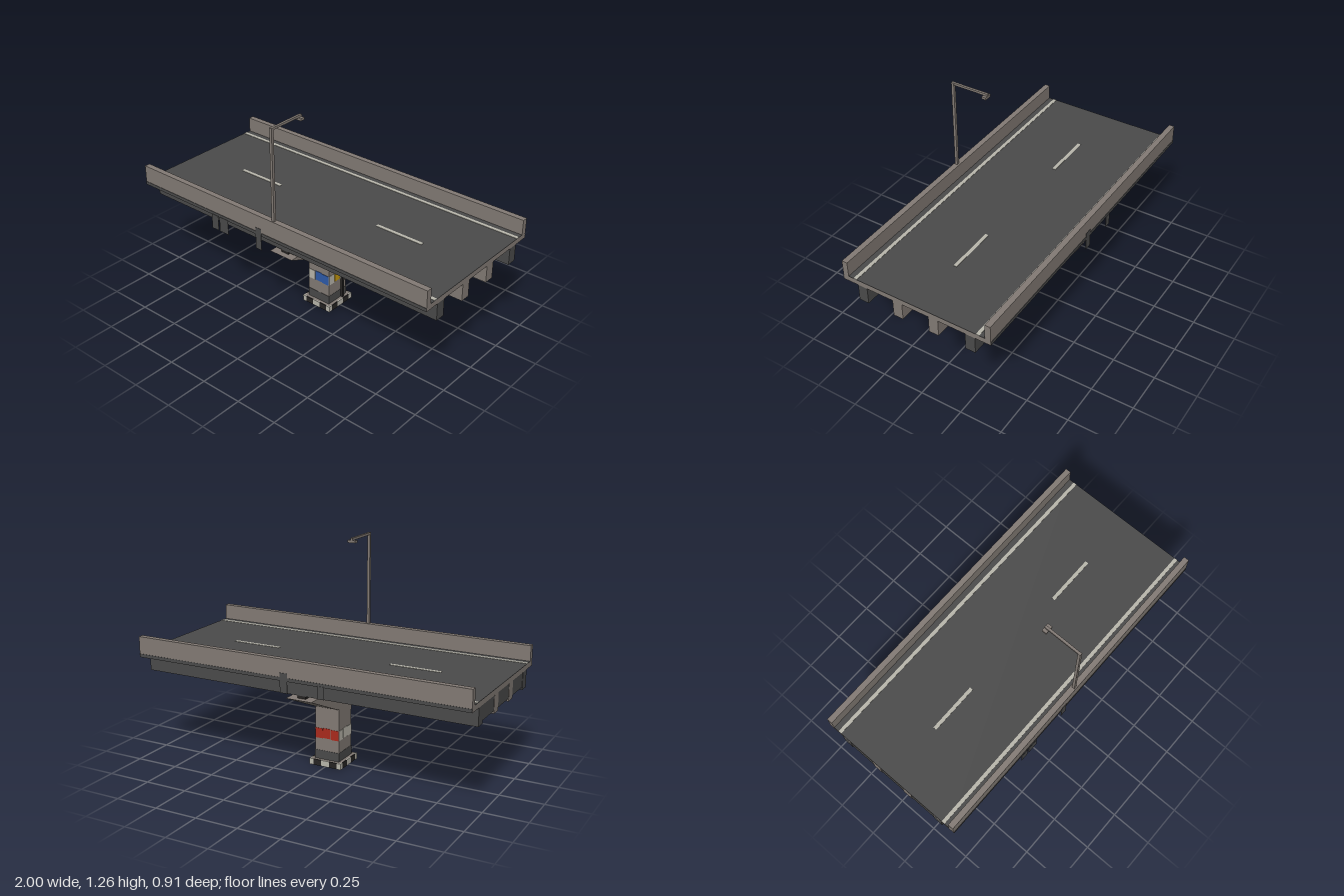
import * as THREE from 'three';

const mat = (name, color) => {
  const m = new THREE.MeshStandardMaterial({ color });
  m.name = name;
  return m;
};

export function createModel() {
  const model = new THREE.Group();
  model.name = 'overpass';
  const concrete = mat('concrete grey', 0x827a74);
  const asphalt = mat('asphalt grey', 0x4a4a4a);
  const black = mat('black', 0x262423);
  const white = mat('dull white', 0xb8b6ab);
  const blue = mat('poster blue', 0x2d5aa8);
  const yellow = mat('poster yellow', 0xc4960f);
  const red = mat('poster red', 0xaa2a1c);

  // Box given by its extents on each axis
  const box = (name, material, [x0, x1], [y0, y1], [z0, z1], parent = model) => {
    const mesh = new THREE.Mesh(new THREE.BoxGeometry(x1 - x0, y1 - y0, z1 - z0), material);
    mesh.position.set((x0 + x1) / 2, (y0 + y1) / 2, (z0 + z1) / 2);
    mesh.name = name;
    parent.add(mesh);
    return mesh;
  };

  // Deck with upright parapets, one continuous section along x
  const section = new THREE.Shape([
    [-0.45, 0.6], [0.45, 0.6], [0.45, 0.72], [0.417, 0.72], [0.417, 0.628],
    [-0.417, 0.628], [-0.417, 0.72], [-0.45, 0.72],
  ].map(([z, y]) => new THREE.Vector2(z, y)));
  const alongX = (name, shape, length) => {
    const geo = new THREE.ExtrudeGeometry(shape, { depth: length, bevelEnabled: false });
    geo.translate(0, 0, -length / 2).rotateY(Math.PI / 2);
    const mesh = new THREE.Mesh(geo, concrete);
    mesh.name = name;
    model.add(mesh);
  };
  alongX('deckAndParapets', section, 2);

  // Road surface and markings
  box('roadSurface', asphalt, [-1, 1], [0.628, 0.631], [-0.417, 0.417]);
  for (const s of [-1, 1]) {
    box('edgeLine', white, [-1, 1], [0.63, 0.633], [s * 0.375 - 0.01, s * 0.375 + 0.01]);
    box('centreDash', white, [s * 0.5 - 0.15, s * 0.5 + 0.15], [0.63, 0.633], [-0.01, 0.01]);
    box('edgeStrip', asphalt, [-1, 1], [0.601, 0.62], [s * 0.451 - 0.001, s * 0.451 + 0.001]);
  }

  // Girders on bearing pads
  for (const z of [-0.33, -0.11, 0.11, 0.33]) {
    const outer = Math.abs(z) > 0.2;
    box('girder', outer ? asphalt : concrete, [-1, 1], [0.5, 0.6], [z - 0.029, z + 0.029]);
    box('bearingPad', black, [-0.025, 0.025], [0.484, 0.5], [z - 0.026, z + 0.026]);
  }
  // Cross wall between girders at one end
  for (const z of [-0.22, 0, 0.22]) {
    box('endDiaphragm', asphalt, [-0.998, -0.97], [0.515, 0.6], [z - 0.082, z + 0.082]);
  }

  // Thin stains hanging from the deck edges
  const stains = [
    [-0.455, -0.405, 0.515, 0.605, 1], [-0.395, -0.33, 0.515, 0.605, 1],
    [-0.12, -0.08, 0.515, 0.645, 1], [0.03, 0.075, 0.535, 0.645, -1],
    [-0.19, -0.15, 0.535, 0.605, -1],
  ];
  for (const [x0, x1, y0, y1, s] of stains) {
    box('edgeStain', asphalt, [x0, x1], [y0, y1], [s * 0.453 - 0.001, s * 0.453 + 0.001]);
  }

  // Pier: tapered cap, column, dark foot band, drainpipe
  alongX('pierCap', new THREE.Shape([
    [-0.095, 0.353], [0.095, 0.353], [0.39, 0.484], [-0.39, 0.484],
  ].map(([z, y]) => new THREE.Vector2(z, y))), 0.156);
  box('column', concrete, [-0.075, 0.075], [0.03, 0.354], [-0.075, 0.075]);
  box('footBand', asphalt, [-0.0765, 0.0765], [0.035, 0.087], [-0.0765, 0.0765]);
  box('drainpipe', black, [0.076, 0.09], [0.035, 0.354], [-0.045, -0.03]);
  box('base', concrete, [-0.098, 0.098], [0, 0.035], [-0.098, 0.098]);

  // Posters and chequered base tiles on each of the four faces
  const sides = [
    ['front', 0, [white, blue, blue]],
    ['left', Math.PI / 2, [white, yellow, white]],
    ['back', Math.PI, [red, red, red]],
    ['right', -Math.PI / 2, [white, white, white]],
  ];
  for (const [name, angle, colours] of sides) {
    const side = new THREE.Group();
    side.name = name + 'FaceDetails';
    side.rotation.y = angle;
    colours.forEach((c, i) => {
      const x = (i - 1) * 0.05;
      const drop = (i % 2) * 0.003;
      box('poster', c, [x - 0.0235, x + 0.0235], [0.16 + drop, 0.219 + drop], [0.074, 0.077], side);
    });
    [-0.1, -0.075, -0.025, 0.025, 0.075].forEach((x, i, xs) => {
      box('baseTile', i % 2 ? black : white, [x, xs[i + 1] ?? 0.1], [0.0005, 0.0355], [0.093, 0.1], side);
    });
    model.add(side);
  }

  // Street lamp on the front parapet
  const lamp = new THREE.Group();
  lamp.name = 'streetLamp';
  box('pole', concrete, [-0.008, 0.008], [0.7, 1.26], [0.427, 0.443], lamp);
  box('arm', concrete, [-0.007, 0.007], [1.247, 1.26], [0.212, 0.427], lamp);
  box('lampHead', concrete, [-0.024, 0.024], [1.233, 1.247], [0.21, 0.238], lamp);
  model.add(lamp);

  return model;
}
